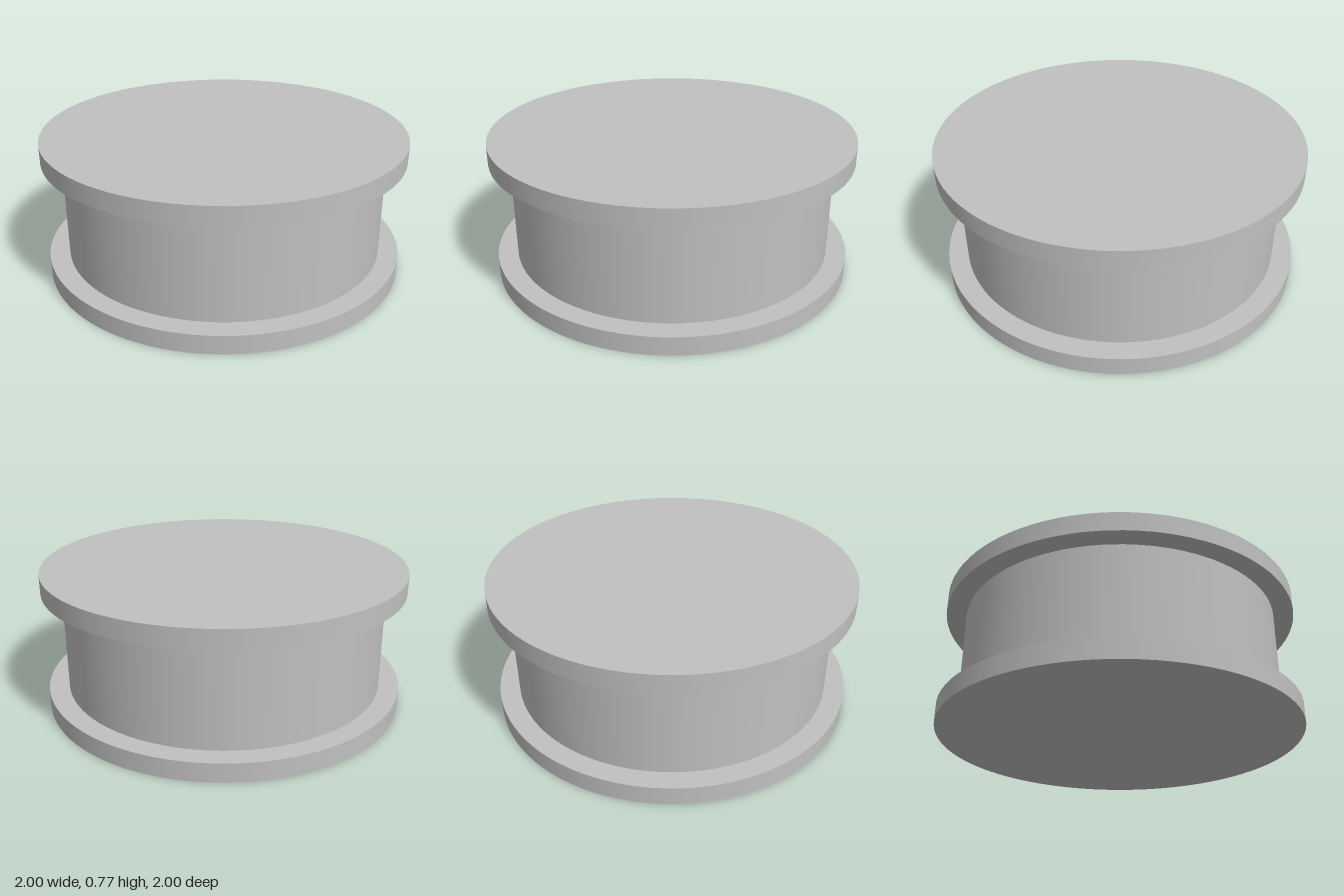
import * as THREE from 'three';

const HEIGHT = 0.77, FLANGE = 0.104, SEGMENTS = 96;

export function createModel() {
  const model = new THREE.Group();
  model.name = 'spool';
  const grey = new THREE.MeshStandardMaterial({ color: 0xc0c0c0 });
  grey.name = 'light grey';

  // Upright disc or drum standing between two heights
  const addDisc = (name, radius, bottom, top, openEnded = false) => {
    const geometry = new THREE.CylinderGeometry(radius, radius, top - bottom, SEGMENTS, 1, openEnded);
    const mesh = new THREE.Mesh(geometry, grey);
    mesh.name = name;
    mesh.position.y = (bottom + top) / 2;
    model.add(mesh);
  };

  addDisc('bottomFlange', 1, 0, FLANGE);
  addDisc('drum', 0.89, FLANGE, HEIGHT - FLANGE, true); // ends are covered by the flanges
  addDisc('topFlange', 1, HEIGHT - FLANGE, HEIGHT);

  return model;
}
